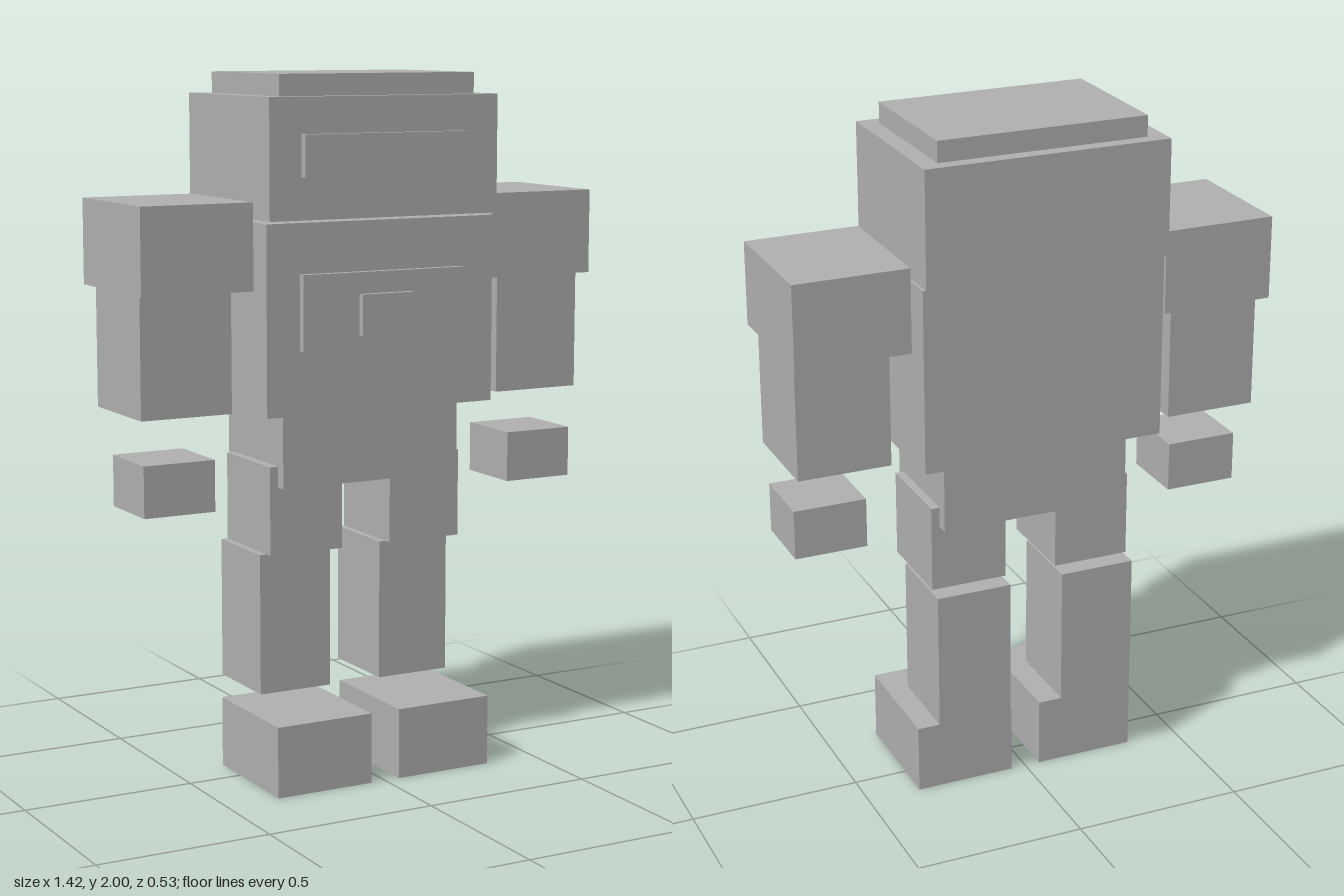
import * as THREE from 'three';

export function createModel() {
  const model = new THREE.Group();
  model.name = 'blockRobot';
  const grey = new THREE.MeshStandardMaterial({ color: 0xb2b2b2 });
  grey.name = 'grey';

  // Box given by its extents along each axis
  function block(name, [x0, x1], [y0, y1], [z0, z1], parent = model) {
    const mesh = new THREE.Mesh(new THREE.BoxGeometry(x1 - x0, y1 - y0, z1 - z0), grey);
    mesh.position.set((x0 + x1) / 2, (y0 + y1) / 2, (z0 + z1) / 2);
    mesh.name = name;
    parent.add(mesh);
  }
  const centred = (name, half, y, z) => block(name, [-half, half], y, z);

  // Head
  centred('headCap', 0.306, [1.94, 2], [-0.224, 0.195]);
  centred('head', 0.358, [1.608, 1.94], [-0.265, 0.238]);
  centred('visor', 0.262, [1.725, 1.84], [0.238, 0.263]);

  // Body
  centred('torso', 0.358, [1.07, 1.6], [-0.24, 0.217]);
  centred('chestPanel', 0.257, [1.25, 1.46], [0.217, 0.238]);
  centred('chestButton', 0.083, [1.285, 1.4], [0.238, 0.257]);
  centred('pelvis', 0.28, [0.858, 1.06], [-0.183, 0.159]);

  // Arms and legs, extents on the left side
  const limbs = {
    Arm: [
      ['Shoulder', [0.38, 0.712], [1.417, 1.658], [-0.21, 0.182]],
      ['Forearm', [0.426, 0.697], [1.078, 1.417], [-0.16, 0.137]],
      ['Hand', [0.474, 0.687], [0.808, 0.953], [-0.082, 0.127]],
    ],
    Leg: [
      ['Thigh', [0.078, 0.305], [0.665, 0.917], [-0.146, 0.127]],
      ['Shin', [0.081, 0.305], [0.25, 0.655], [-0.188, 0.062]],
      ['Foot', [0.045, 0.342], [0, 0.204], [-0.114, 0.242]],
    ],
  };
  for (const [side, s] of [['left', 1], ['right', -1]]) {
    for (const [limb, parts] of Object.entries(limbs)) {
      const group = new THREE.Group();
      group.name = side + limb;
      for (const [part, x, y, z] of parts) {
        block(side + part, s > 0 ? x : [-x[1], -x[0]], y, z, group);
      }
      model.add(group);
    }
  }
  return model;
}
